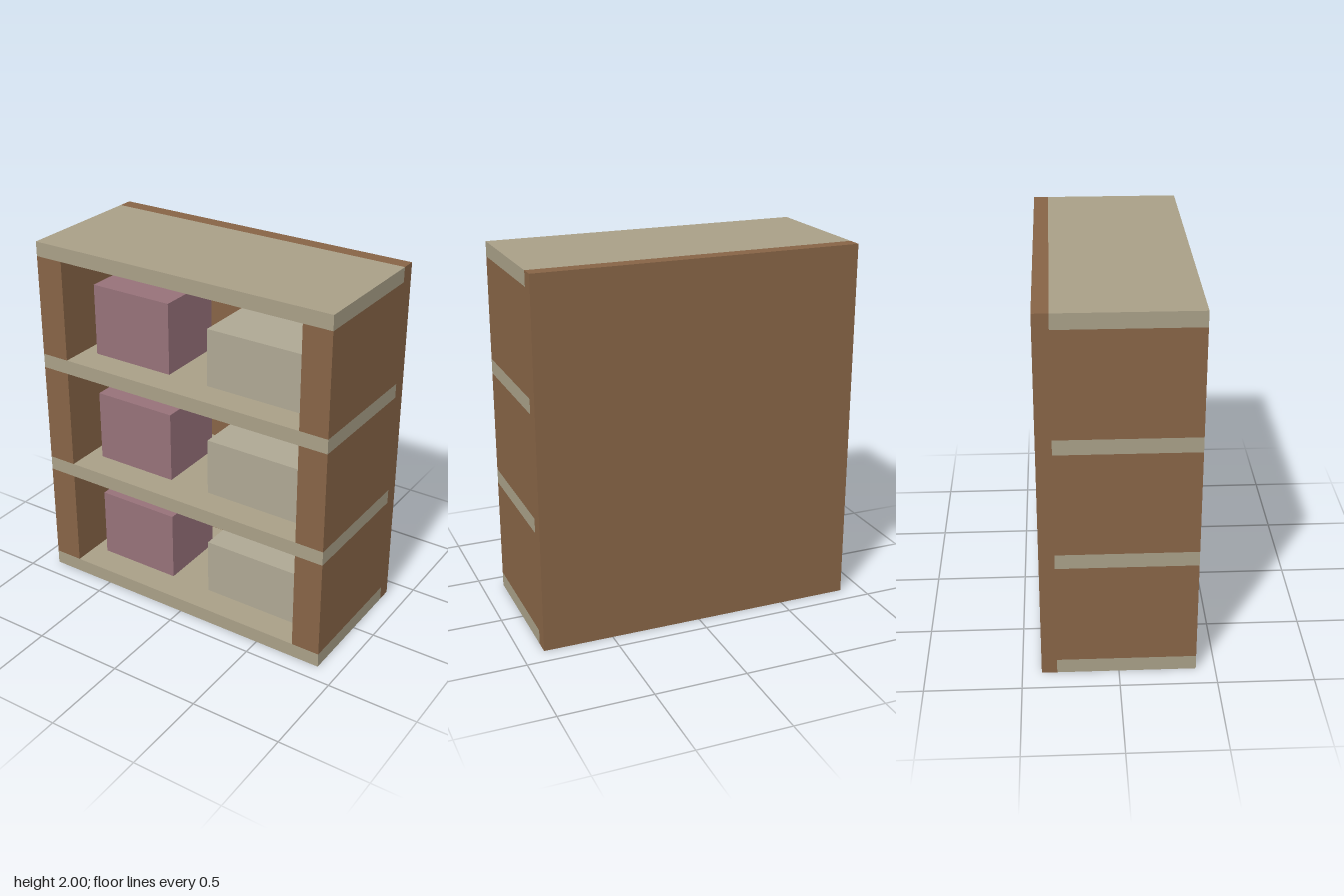
import * as THREE from 'three';

const material = (color) => new THREE.MeshStandardMaterial({ color });

export function createModel() {
  const group = new THREE.Group();
  const wood = material(0x876446);
  const board = material(0xa89f87);
  const pink = material(0x967179);
  const stone = material(0xaea793);

  // Box given by its lower and upper limits on each axis
  function addBox(name, mat, [x0, x1], [y0, y1], [z0, z1]) {
    const mesh = new THREE.Mesh(new THREE.BoxGeometry(x1 - x0, y1 - y0, z1 - z0), mat);
    mesh.position.set((x0 + x1) / 2, (y0 + y1) / 2, (z0 + z1) / 2);
    mesh.name = name;
    group.add(mesh);
  }

  const thickness = 0.08, pitch = 0.64, tiers = 3;
  const depth = [-0.32, 0.4];
  const crateDepth = [-0.16, 0.24];

  // Full-height back
  addBox('backPanel', wood, [-0.88, 0.88], [0, 2], [-0.4, -0.32]);

  // Boards run the full width, from base to top
  for (let i = 0; i <= tiers; i++) {
    addBox(`shelf${i + 1}`, board, [-0.88, 0.88], [i * pitch, i * pitch + thickness], depth);
  }

  // Side walls and two crates on each tier
  for (let i = 0; i < tiers; i++) {
    const floor = i * pitch + thickness;
    const ceiling = (i + 1) * pitch;
    addBox(`rightSide${i + 1}`, wood, [-0.88, -0.72], [floor, ceiling], depth);
    addBox(`leftSide${i + 1}`, wood, [0.72, 0.88], [floor, ceiling], depth);
    addBox(`tallCrate${i + 1}`, pink, [-0.64, -0.16], [floor, floor + 0.4], crateDepth);
    addBox(`lowCrate${i + 1}`, stone, [0.08, 0.64], [floor, floor + 0.32], crateDepth);
  }

  return group;
}
